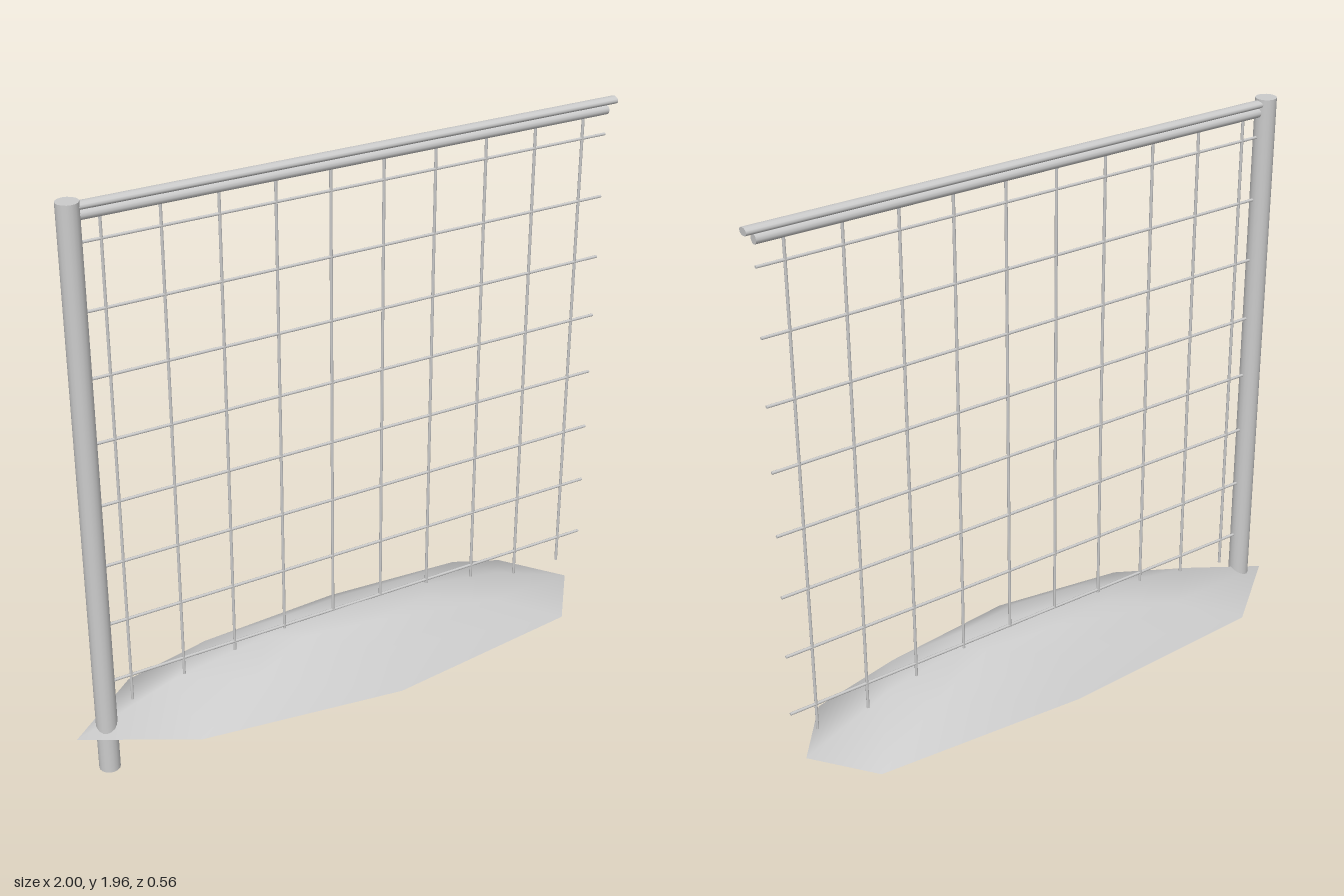
import * as THREE from 'three';

const Z = -0.018; // plane of the fence panel

export function createModel() {
  const group = new THREE.Group();
  const metal = new THREE.MeshStandardMaterial({ color: 0xcccccc });
  const earth = new THREE.MeshStandardMaterial({ color: 0xcccccc, side: THREE.DoubleSide });

  // Upright or lengthwise round bar between two points
  function bar(name, a, b, radius, sides) {
    const from = new THREE.Vector3(...a), to = new THREE.Vector3(...b);
    const dir = to.clone().sub(from);
    const mesh = new THREE.Mesh(new THREE.CylinderGeometry(radius, radius, dir.length(), sides), metal);
    mesh.position.copy(from).add(to).multiplyScalar(0.5);
    mesh.quaternion.setFromUnitVectors(new THREE.Vector3(0, 1, 0), dir.normalize());
    mesh.name = name;
    group.add(mesh);
    return mesh;
  }

  // Post and top rail with its wider cap
  bar('post', [-0.895, 0, Z], [-0.895, 1.96, Z], 0.035, 16);
  bar('topRail', [-0.88, 1.914, Z], [0.97, 1.914, Z], 0.016, 12);
  const cap = bar('railCap', [-0.88, 1.942, Z], [1.0, 1.942, Z], 0.02, 12);
  cap.scale.x = 0.62;

  // Wire mesh
  for (let i = 0; i < 10; i++) {
    const x = -0.8 + i * 0.1865;
    bar('verticalWire', [x, 0.235, Z], [x, 1.91, Z], 0.005, 8);
  }
  for (let i = 0; i < 8; i++) {
    const y = 0.33 + i * 0.2145;
    bar('horizontalWire', [-0.88, y, Z], [0.97, y, Z], 0.005, 8);
  }

  // Ground mound: an open shell of shrinking rings closing at the crest
  const rim = [[-1, -0.02], [-0.65, 0.18], [0.04, 0.28], [0.76, 0.19],
    [0.93, -0.025], [0.78, -0.235], [0.04, -0.285], [-0.72, -0.24]];
  const rings = [[1, 0.145], [0.66, 0.262], [0.33, 0.317], [0, 0.33]];
  const n = rim.length, points = [], index = [];
  for (const [s, y] of rings) {
    for (const [x, z] of rim) points.push(0.02 + (x - 0.02) * s, y, z * s);
  }
  for (let r = 0; r < rings.length - 1; r++) {
    for (let i = 0; i < n; i++) {
      const j = (i + 1) % n, a = r * n + i, b = r * n + j;
      index.push(a, b, a + n);
      if (r < rings.length - 2) index.push(b, b + n, a + n);
    }
  }
  const shell = new THREE.BufferGeometry();
  shell.setAttribute('position', new THREE.Float32BufferAttribute(points, 3));
  shell.setIndex(index);
  shell.computeVertexNormals();
  // The crest points straight up
  for (let i = 3 * n; i < 4 * n; i++) shell.attributes.normal.setXYZ(i, 0, 1, 0);
  const mound = new THREE.Mesh(shell, earth);
  mound.name = 'groundMound';
  group.add(mound);

  return group;
}
